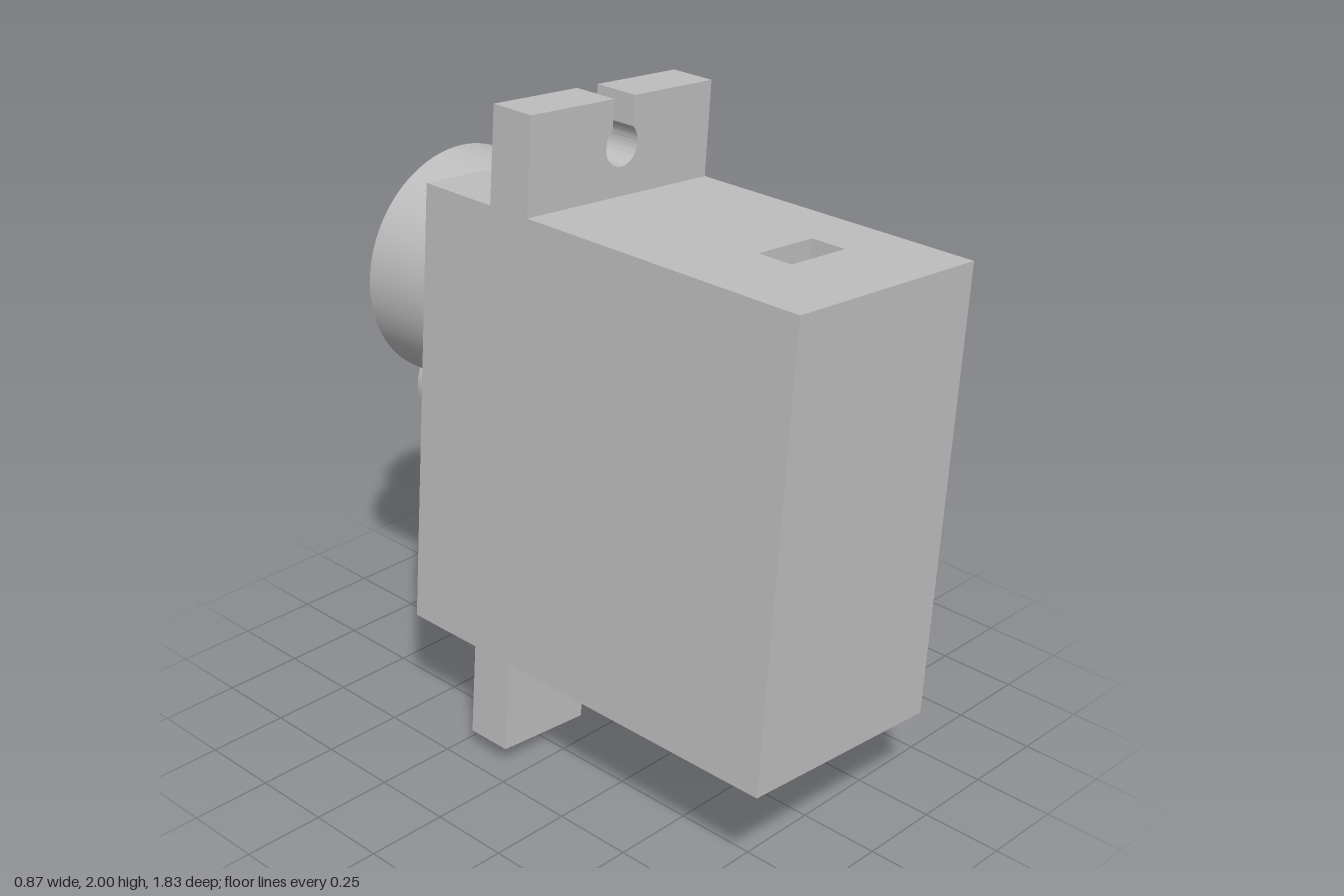
import * as THREE from 'three';
import { toCreasedNormals } from 'three/addons/utils/BufferGeometryUtils.js';

const HALF_W = 0.359, BODY_H = 0.687, TAB_TOP = 0.975;
const BACK = -0.475, FRONT = 0.915, GEAR_BACK = -0.72;

function extrude(shape, depth) {
  const geo = new THREE.ExtrudeGeometry(shape, { depth, bevelEnabled: false, curveSegments: 48 });
  return toCreasedNormals(geo, 0.5);
}

// Mounting tab with a keyhole slot open to its outer edge
function tabShape() {
  const slot = 0.041, r = 0.063, cy = 0.837;
  const a = Math.acos(slot / r);
  const s = new THREE.Shape();
  s.moveTo(-HALF_W, BODY_H);
  s.lineTo(HALF_W, BODY_H);
  s.lineTo(HALF_W, TAB_TOP);
  s.lineTo(slot, TAB_TOP);
  s.absarc(0, cy, r, a, Math.PI - a, true);
  s.lineTo(-slot, TAB_TOP);
  s.lineTo(-HALF_W, TAB_TOP);
  s.closePath();
  return s;
}

// Large round housing joined with the small lobe under it
function housingShape(cy, R, r, d) {
  const iy = (R * R - r * r + d * d) / (2 * d);
  const ix = Math.sqrt(R * R - iy * iy);
  const big = Math.atan2(-iy, ix), small = Math.atan2(d - iy, ix);
  const s = new THREE.Shape();
  s.absarc(0, cy, R, big, Math.PI - big, false);
  s.absarc(0, cy - d, r, Math.PI - small, 2 * Math.PI + small, false);
  return s;
}

export function createModel() {
  const model = new THREE.Group();
  const grey = new THREE.MeshStandardMaterial({ color: 0xc0c0c0 });
  grey.name = 'light grey';

  const add = (name, geo, x = 0, y = 0, z = 0) => {
    const mesh = new THREE.Mesh(geo, grey);
    mesh.name = name;
    mesh.position.set(x, y, z);
    model.add(mesh);
    return mesh;
  };

  // Main case, with a top layer pierced by the cable recess
  const recess = 0.1, length = FRONT - BACK, midZ = (FRONT + BACK) / 2;
  add('caseBody', new THREE.BoxGeometry(HALF_W * 2, BODY_H * 2 - recess, length), 0, -recess / 2, midZ);

  const rect = (path, x0, x1, y0, y1) => {
    path.moveTo(x0, y0);
    path.lineTo(x1, y0);
    path.lineTo(x1, y1);
    path.lineTo(x0, y1);
    path.closePath();
    return path;
  };
  const lid = rect(new THREE.Shape(), -HALF_W, HALF_W, -FRONT, -BACK);
  lid.holes.push(rect(new THREE.Path(), -0.068, 0.152, -0.64, -0.525));
  add('caseTop', extrude(lid, recess), 0, BODY_H - recess, 0).rotation.x = -Math.PI / 2;

  // Two opposite mounting tabs
  const tab = extrude(tabShape(), 0.148);
  add('upperTab', tab, 0, 0, -0.208);
  add('lowerTab', tab, 0, 0, -0.208).rotation.z = Math.PI;

  // Gear housing and output shaft on the back
  const shaftY = 0.329;
  add('gearHousing', extrude(housingShape(shaftY, 0.358, 0.161, 0.378), BACK - GEAR_BACK), 0, 0, GEAR_BACK);
  const shaft = new THREE.CylinderGeometry(0.138, 0.138, 0.195, 64).rotateX(Math.PI / 2);
  add('outputShaft', shaft, 0, shaftY, GEAR_BACK - 0.0975);

  // The whole unit leans slightly to one side
  model.rotation.z = -0.0776;
  model.position.y = 1;
  const root = new THREE.Group();
  root.name = 'servoMotor';
  model.name = 'leaningUnit';
  root.add(model);
  return root;
}
